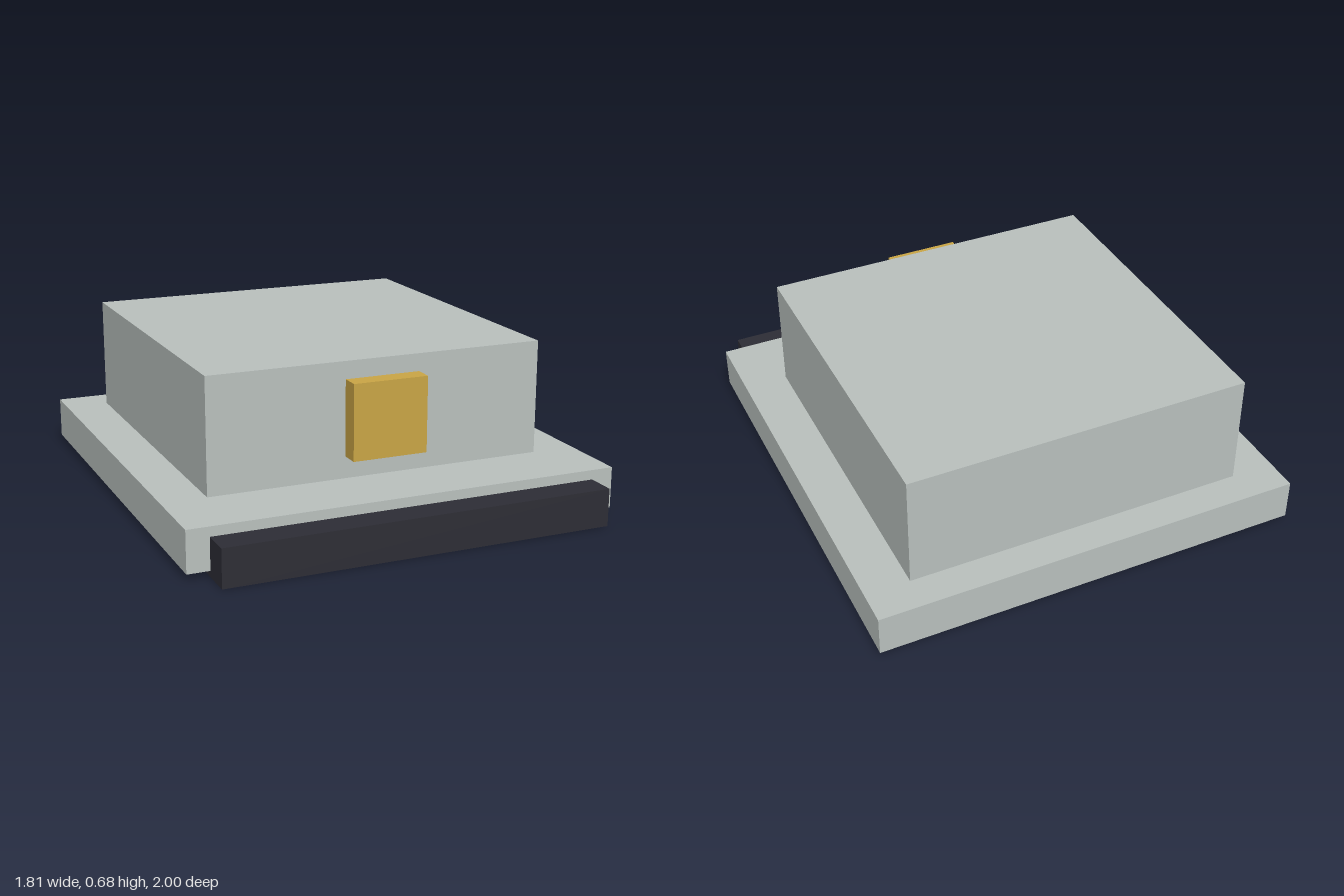
import * as THREE from 'three';

export function createModel() {
  const model = new THREE.Group();
  const material = (name, color) => {
    const m = new THREE.MeshStandardMaterial({ color });
    m.name = name;
    return m;
  };
  const grey = material('pale grey', 0xb8bfbc);
  const gold = material('gold', 0xc8a445);
  const dark = material('charcoal', 0x2d2d35);

  // Box given by its half width and its y and z extents
  const block = (name, mat, halfX, [y0, y1], [z0, z1]) => {
    const mesh = new THREE.Mesh(new THREE.BoxGeometry(halfX * 2, y1 - y0, z1 - z0), mat);
    mesh.name = name;
    mesh.position.set(0, (y0 + y1) / 2, (z0 + z1) / 2);
    model.add(mesh);
  };

  block('baseSlab', grey, 0.905, [0.025, 0.197], [-1, 0.876]);
  block('upperBody', grey, 0.719, [0.197, 0.675], [-0.86, 0.576]);
  // Tray passes under and through the slab, showing at the front
  block('frontTray', dark, 0.813, [0, 0.157], [-0.218, 1]);
  // Plate floats just ahead of the body
  block('frontPlate', gold, 0.158, [0.3, 0.612], [0.611, 0.689]);

  return model;
}
